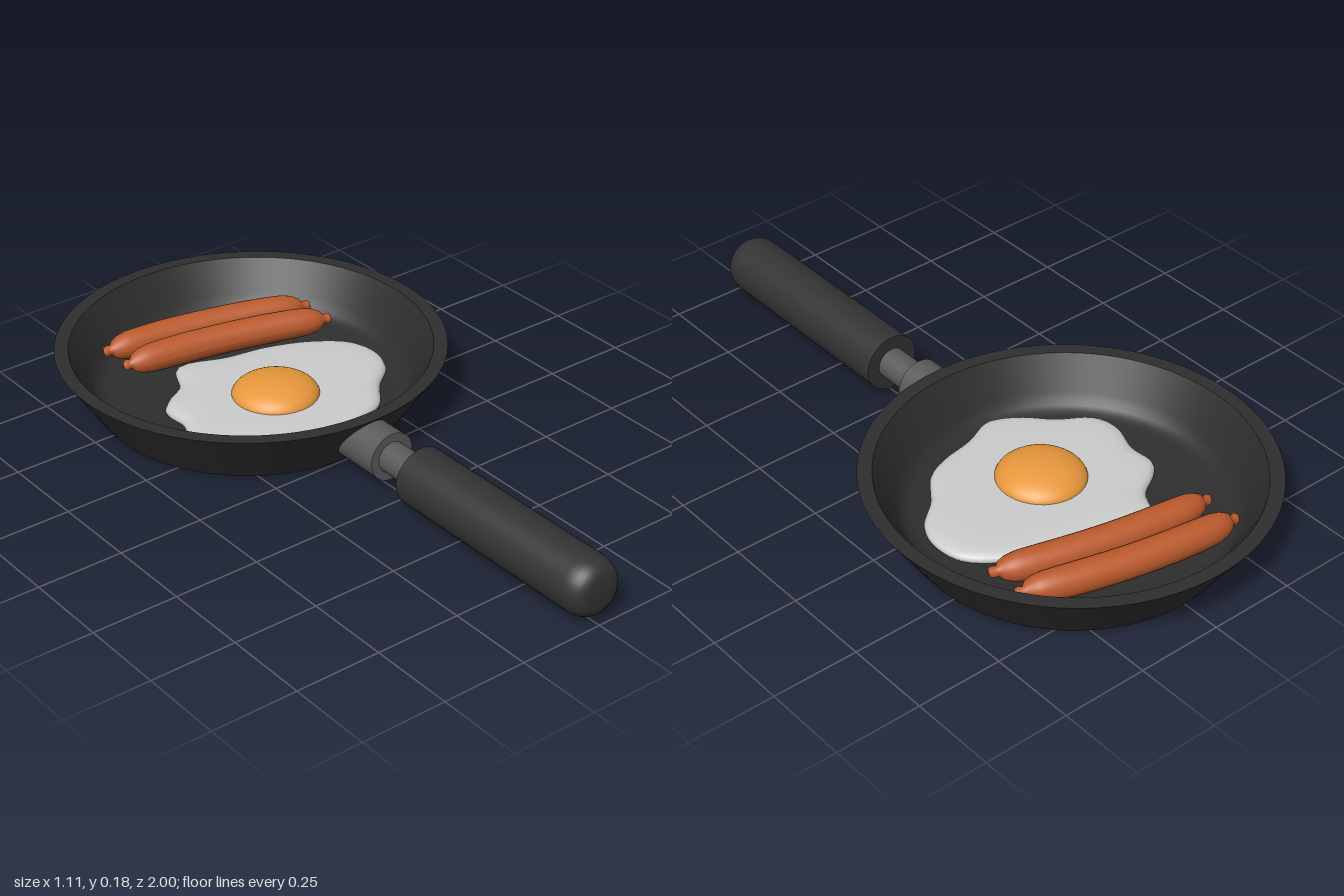
import * as THREE from 'three';
import { toCreasedNormals } from 'three/addons/utils/BufferGeometryUtils.js';

const PAN_Z = -0.445, FLOOR = 0.035, HANDLE_Y = 0.095;
const vec2 = (pts) => pts.map(([x, y]) => new THREE.Vector2(x, y));

const mat = (color) => new THREE.MeshStandardMaterial({ color });
const dark = mat(0x2e2e2e), grip = mat(0x333333), metal = mat(0x5a5a5a);
const white = mat(0xe6e6e6), yellow = mat(0xe8983c), brown = mat(0xbb5a2c);

function add(group, name, geometry, material, x = 0, y = 0, z = 0) {
  const mesh = new THREE.Mesh(geometry, material);
  mesh.name = name;
  mesh.position.set(x, y, z);
  group.add(mesh);
  return mesh;
}

const turned = (pts, segments) =>
  toCreasedNormals(new THREE.LatheGeometry(vec2(pts), segments), 0.6);

// Sausage: turned profile with tied ends, bent into a slight bow
function sausageGeometry() {
  const half = [[0, 0.327], [0.012, 0.325], [0.016, 0.315], [0.013, 0.304], [0.025, 0.295],
    [0.035, 0.275], [0.041, 0.245], [0.043, 0.2], [0.044, 0.13], [0.044, 0.065]];
  const profile = [...half.map(([r, t]) => [r, -t]), [0.044, 0], ...half.slice().reverse()];
  const g = new THREE.LatheGeometry(vec2(profile), 24);
  g.rotateZ(-Math.PI / 2);
  const p = g.attributes.position;
  for (let i = 0; i < p.count; i++) p.setZ(i, p.getZ(i) + 0.024 * (p.getX(i) / 0.32) ** 2);
  g.computeVertexNormals();
  return g;
}

// Egg white: a wavy closed outline shrunk inward in rings that rise to a flat top
function eggWhiteGeometry() {
  const outline = [[-0.13, -0.63], [0.005, -0.59], [0.14, -0.565], [0.27, -0.51], [0.36, -0.43],
    [0.375, -0.34], [0.345, -0.265], [0.27, -0.2], [0.2, -0.115], [0.13, -0.085], [0.03, -0.065],
    [-0.07, -0.03], [-0.15, -0.07], [-0.22, -0.14], [-0.31, -0.205], [-0.325, -0.28],
    [-0.295, -0.37], [-0.295, -0.45], [-0.26, -0.49], [-0.19, -0.535]];
  const curve = new THREE.CatmullRomCurve3(
    outline.map(([x, z]) => new THREE.Vector3(x, 0, z)), true);
  const n = 96, cx = 0.01, cz = -0.33;
  const rings = [[0.985, 0], [1, 0.008], [0.985, 0.017], [0.95, 0.024], [0.88, 0.028],
    [0.7, 0.03], [0.4, 0.031], [0, 0.031]];
  const pos = [], index = [];
  rings.forEach(([s, y], k) => {
    for (let i = 0; i < n; i++) {
      const p = curve.getPoint(i / n);
      pos.push(cx + (p.x - cx) * s, FLOOR + y, cz + (p.z - cz) * s);
      if (k === rings.length - 1) continue;
      const a = k * n + i, b = k * n + (i + 1) % n;
      index.push(a, a + n, b, b, a + n, b + n);
    }
  });
  const g = new THREE.BufferGeometry();
  g.setAttribute('position', new THREE.Float32BufferAttribute(pos, 3));
  g.setIndex(index);
  g.computeVertexNormals();
  return g;
}

// Collar: a cylinder whose inner end is slanted to follow the sloping pan wall
function collarGeometry() {
  const g = new THREE.CylinderGeometry(0.07, 0.07, 1, 40);
  g.rotateX(Math.PI / 2);
  const p = g.attributes.position;
  for (let i = 0; i < p.count; i++) {
    const x = p.getX(i), y = p.getY(i) + HANDLE_Y;
    const radius = 0.44 + 0.115 * y / 0.173;
    const wall = PAN_Z + Math.sqrt(radius * radius - x * x) - 0.012;
    p.setZ(i, p.getZ(i) > 0 ? 0.185 : wall);
  }
  return toCreasedNormals(g, 0.6);
}

export function createModel() {
  const model = new THREE.Group();
  model.name = 'fryingPan';

  // Pan body with flat rim and rounded inner corner
  add(model, 'pan', turned([[0, 0], [0.44, 0], [0.555, 0.173], [0.515, 0.173], [0.462, 0.08],
    [0.452, 0.063], [0.44, 0.049], [0.424, 0.039], [0.405, FLOOR], [0, FLOOR]], 96),
    dark, 0, 0, PAN_Z);

  // Handle: collar, neck and rounded grip
  add(model, 'collar', collarGeometry(), metal, 0, HANDLE_Y, 0);
  const neck = new THREE.CylinderGeometry(0.045, 0.045, 0.17, 32);
  neck.rotateX(Math.PI / 2);
  add(model, 'neck', neck, metal, 0, HANDLE_Y, 0.245);
  const profile = [[0, 0.305], [0.084, 0.305], [0.084, 0.94]];
  for (let i = 1; i <= 6; i++) {
    const a = i / 6 * Math.PI / 2;
    profile.push([0.044 + 0.04 * Math.cos(a), 0.94 + 0.06 * Math.sin(a)]);
  }
  profile.push([0, 1]);
  const handle = turned(profile, 40);
  handle.rotateX(Math.PI / 2);
  add(model, 'handleGrip', handle, grip, 0, HANDLE_Y, 0);

  // Fried egg
  add(model, 'eggWhite', eggWhiteGeometry(), white);
  const yolk = add(model, 'eggYolk', new THREE.SphereGeometry(0.125, 40, 24),
    yellow, -0.01, 0.062, -0.32);
  yolk.scale.y = 0.42;

  // Two sausages side by side
  const sausage = sausageGeometry();
  [-0.745, -0.643].forEach((z, i) => {
    add(model, 'sausage' + (i + 1), sausage, brown, 0.05, 0.08, z).rotation.y = -0.213;
  });

  return model;
}
